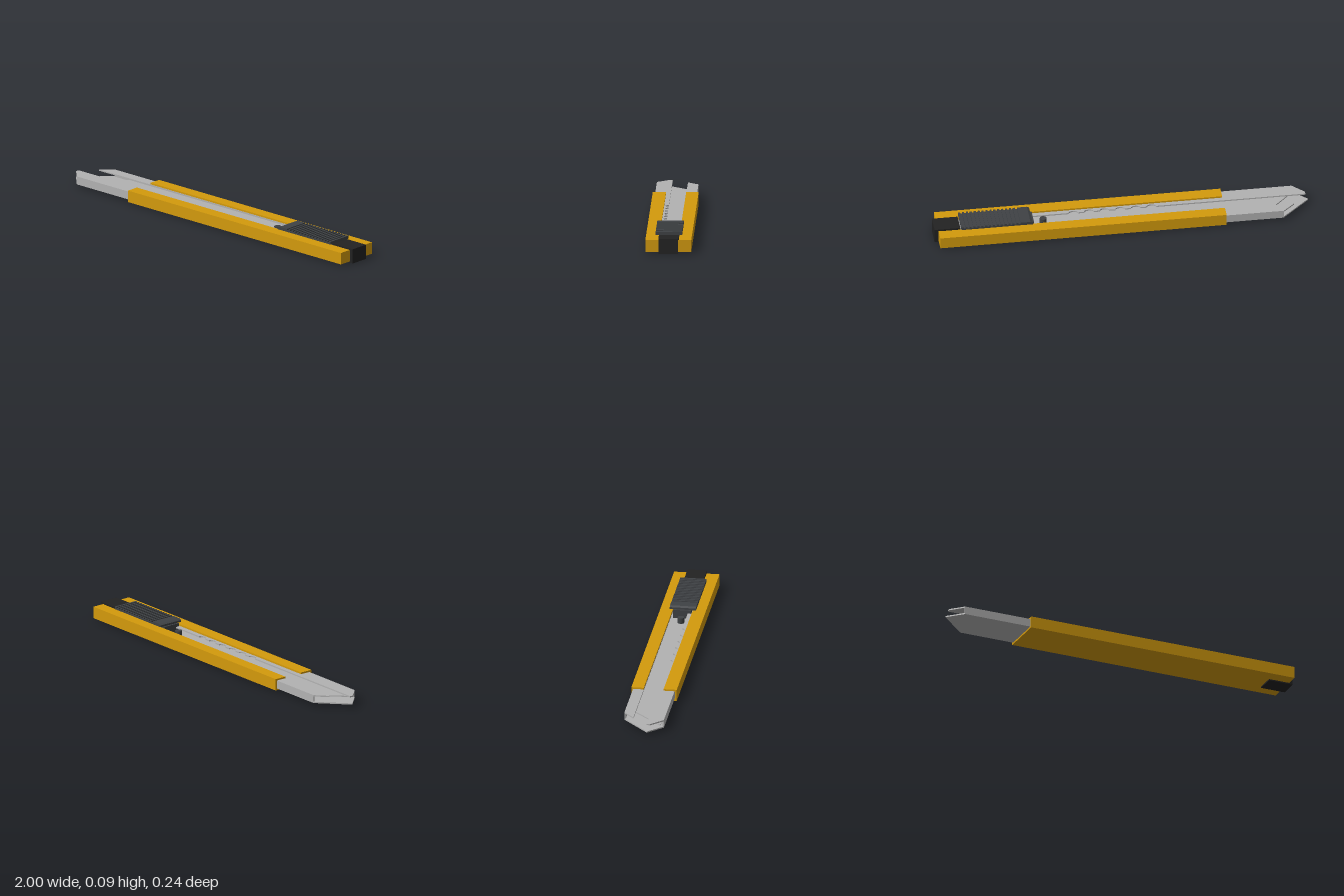
import * as THREE from 'three';

export function createModel() {
  const model = new THREE.Group();
  model.name = 'utilityKnife';

  const material = (name, color) => {
    const m = new THREE.MeshStandardMaterial({ color });
    m.name = name;
    return m;
  };
  const yellow = material('yellowPlastic', 0xd39a0c);
  const steel = material('steel', 0xb2b2b2);
  const darkGrey = material('darkGreyPlastic', 0x3f4245);
  const black = material('blackPlastic', 0x222222);

  const add = (name, geometry, mat, parent = model) => {
    const mesh = new THREE.Mesh(geometry, mat);
    mesh.name = name;
    parent.add(mesh);
    return mesh;
  };
  // box given by its minimum and maximum along each axis
  const box = (name, mat, [x0, x1], [y0, y1], [z0, z1], parent) => {
    const g = new THREE.BoxGeometry(x1 - x0, y1 - y0, z1 - z0);
    g.translate((x0 + x1) / 2, (y0 + y1) / 2, (z0 + z1) / 2);
    return add(name, g, mat, parent);
  };
  // flat plate from an [x, z] outline, lying between y0 and y1
  const plate = (name, mat, points, y0, y1, parent) => {
    const shape = new THREE.Shape(points.map(([x, z]) => new THREE.Vector2(x, -z)));
    const g = new THREE.ExtrudeGeometry(shape, { depth: y1 - y0, bevelEnabled: false });
    g.rotateX(-Math.PI / 2).translate(0, y0, 0);
    return add(name, g, mat, parent);
  };

  // handle: a C channel with a slot along the top, closed at the rear
  const handle = new THREE.Group();
  handle.name = 'handle';
  model.add(handle);
  const section = new THREE.Shape([
    [-0.121, 0.007], [0.121, 0.007], [0.121, 0.0705], [0.051, 0.0705], [0.051, 0.0615],
    [0.111, 0.0615], [0.111, 0.016], [-0.113, 0.016], [-0.113, 0.0615],
    [-0.055, 0.0615], [-0.055, 0.0705], [-0.121, 0.0705],
  ].map(([z, y]) => new THREE.Vector2(-z, y)));
  const channel = new THREE.ExtrudeGeometry(section, { depth: 1.515, bevelEnabled: false });
  channel.rotateY(Math.PI / 2).translate(-0.545, 0, 0);
  add('handleChannel', channel, yellow, handle);
  box('handleEnd', yellow, [0.97, 0.979], [0.007, 0.0705], [-0.121, 0.121], handle);

  // steel sleeve: pointed floor, side walls and two lips
  const sleeve = new THREE.Group();
  sleeve.name = 'bladeSleeve';
  model.add(sleeve);
  const rear = 0.95;
  plate('sleeveFloor', steel,
    [[-1, 0.03], [-0.922, 0.109], [rear, 0.109], [rear, -0.112], [-0.85, -0.112]],
    0.0165, 0.0235, sleeve);
  box('sleeveFrontWall', steel, [-0.922, rear], [0.0235, 0.0535], [0.102, 0.109], sleeve);
  box('sleeveBackWall', steel, [-0.85, rear], [0.0235, 0.0535], [-0.112, -0.105], sleeve);
  plate('sleeveBackLip', steel,
    [[-0.912, -0.055], [rear, -0.055], [rear, -0.112], [-0.85, -0.112]],
    0.0535, 0.0605, sleeve);

  // front lip with a row of rounded stops along its inner edge
  const lip = [[-0.985, 0.045], [-0.922, 0.109], [rear, 0.109], [rear, 0.027]];
  for (let i = 5; i >= 0; i--) {
    const centre = -0.165 + i * 0.083;
    for (let k = 0; k <= 6; k++) {
      const a = (k / 6) * Math.PI;
      lip.push([centre + 0.026 * Math.cos(a), 0.027 + 0.017 * Math.sin(a)]);
    }
  }
  lip.push([-0.985, 0.027]);
  plate('sleeveFrontLip', steel, lip, 0.0535, 0.0605, sleeve);

  // retracted blade with a slanted tip
  plate('blade', steel,
    [[-0.92, 0.09], [0.6, 0.09], [0.6, -0.1], [-0.735, -0.1]], 0.025, 0.031);

  // locking pin on the blade carrier
  const pin = new THREE.CylinderGeometry(0.018, 0.018, 0.032, 16);
  pin.translate(0.415, 0.046, 0);
  add('lockingPin', pin, darkGrey);

  // thumb slider: stem, base plate, chamfered nose, ribs and rear bar
  const slider = new THREE.Group();
  slider.name = 'thumbSlider';
  model.add(slider);
  box('sliderStem', darkGrey, [0.47, 0.85], [0.031, 0.077], [-0.05, 0.046], slider);
  box('sliderBase', darkGrey, [0.482, 0.858], [0.077, 0.085], [-0.07, 0.07], slider);
  const nose = new THREE.Shape([
    [0.48, 0.077], [0.545, 0.077], [0.545, 0.093], [0.492, 0.093], [0.48, 0.087],
  ].map(([x, y]) => new THREE.Vector2(x, y)));
  const noseGeometry = new THREE.ExtrudeGeometry(nose, { depth: 0.14, bevelEnabled: false });
  add('sliderNose', noseGeometry.translate(0, 0, -0.07), darkGrey, slider);
  for (let i = 0; i < 14; i++) {
    const x = 0.556 + i * 0.0208;
    box('sliderRib', darkGrey, [x, x + 0.011], [0.085, 0.093], [-0.07, 0.07], slider);
  }
  box('sliderRear', darkGrey, [0.847, 0.859], [0.077, 0.093], [-0.07, 0.07], slider);

  // end cap wrapping the rear of the handle
  box('endCap', black, [0.863, 1], [0, 0.079], [-0.052, 0.052]);

  return model;
}
